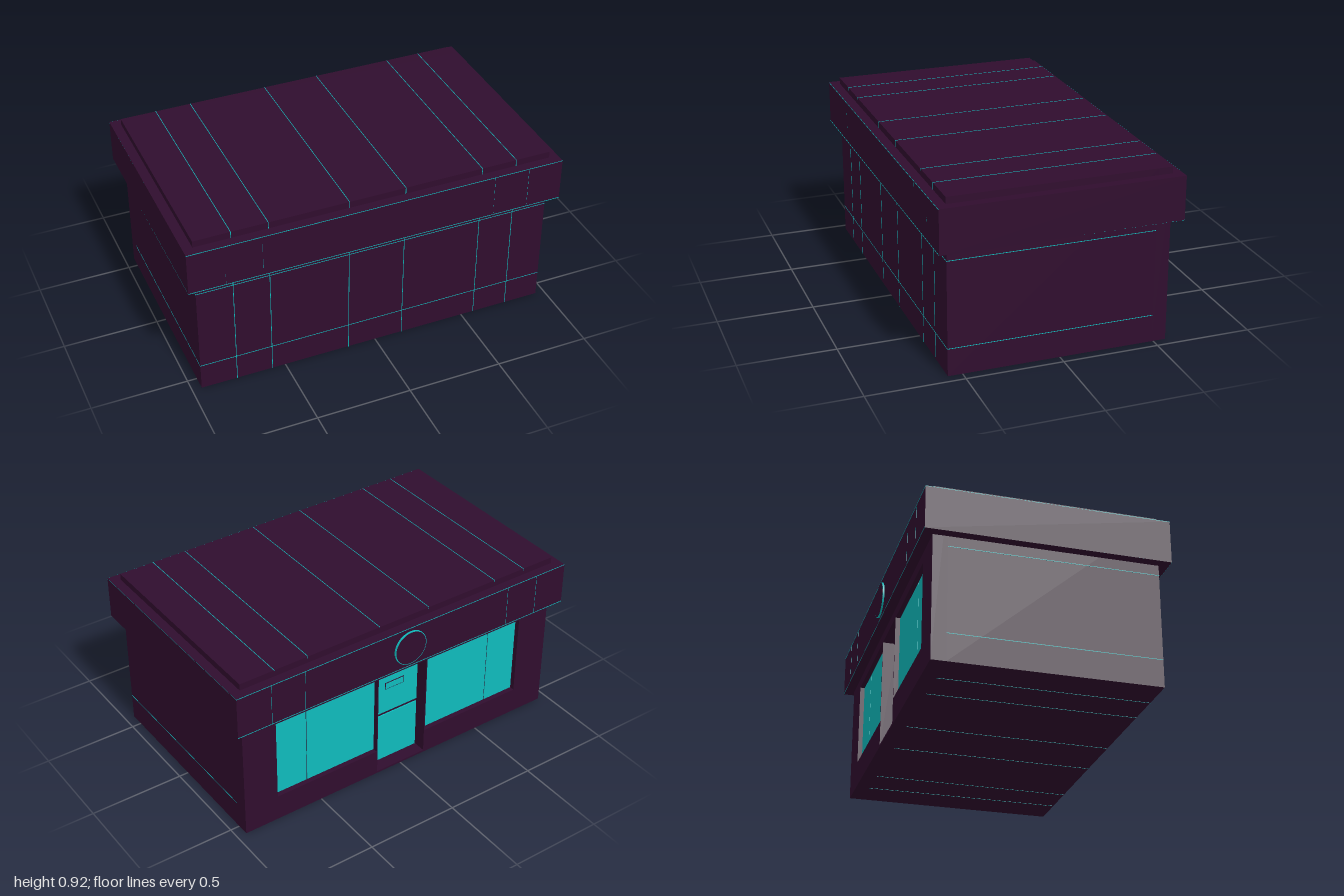
import * as THREE from 'three';

export function createModel() {
  const model = new THREE.Group();
  const plum = new THREE.MeshStandardMaterial({ color: 0x300d2e });
  plum.name = 'dark plum';
  const teal = new THREE.MeshStandardMaterial({ color: 0x0fbcbd });
  teal.name = 'teal';

  const add = (name, geometry, material) => {
    const mesh = new THREE.Mesh(geometry, material);
    mesh.name = name;
    model.add(mesh);
    return mesh;
  };
  // Box given by its minimum and maximum corners
  const box = (name, material, x0, x1, y0, y1, z0, z1) => {
    const mesh = add(name, new THREE.BoxGeometry(x1 - x0, y1 - y0, z1 - z0), material);
    mesh.position.set((x0 + x1) / 2, (y0 + y1) / 2, (z0 + z1) / 2);
    return mesh;
  };

  const W = 0.95, H = 0.92, back = -0.565, front = 0.575, inner = -0.49, t = 0.0015;

  // Building body behind the shop front
  box('body', plum, -W, W, 0.001, H, inner, front);

  // Shop front wall with two window openings and a doorway
  const rect = (Type, x0, x1, y0, y1) => {
    const r = new Type();
    r.moveTo(x0, y0);
    r.lineTo(x1, y0);
    r.lineTo(x1, y1);
    r.lineTo(x0, y1);
    r.closePath();
    return r;
  };
  const wall = rect(THREE.Shape, -W, W, 0.001, H);
  wall.holes.push(
    rect(THREE.Path, 0.155, 0.76, 0.145, 0.6),
    rect(THREE.Path, -0.76, -0.155, 0.145, 0.6),
    rect(THREE.Path, -0.15, 0.15, 0.012, 0.6)
  );
  const wallGeometry = new THREE.ExtrudeGeometry(wall, { depth: inner - back, bevelEnabled: false });
  add('shopFrontWall', wallGeometry, plum).position.z = back;

  // Windows: two panes each, with a narrow dark joint between
  for (const s of [-1, 1]) {
    box('windowBacking', plum, s * 0.4575 - 0.3025, s * 0.4575 + 0.3025, 0.145, 0.6, -0.539, inner);
    for (const [a, b] of [[0.158, 0.568], [0.572, 0.757]]) {
      box('windowPane', teal, Math.min(s * a, s * b), Math.max(s * a, s * b), 0.148, 0.597, -0.541, -0.536);
    }
  }

  // Door: two panels and an outlined letter slot
  box('lowerDoorPanel', teal, -0.146, 0.146, 0.015, 0.298, -0.497, inner);
  box('upperDoorPanel', teal, -0.146, 0.146, 0.316, 0.597, -0.497, inner);
  box('letterSlotFrame', plum, -0.06, 0.06, 0.46, 0.5, -0.499, inner);
  box('letterSlot', teal, -0.056, 0.056, 0.464, 0.496, -0.501, inner);

  // Overhanging fascia band
  box('fascia', plum, -1, 1, 0.655, 0.885, -0.615, 0.625);

  // Round sign plate with a teal rim
  for (const [name, r, z, m] of [['signRim', 0.095, -0.624, teal], ['signPlate', 0.091, -0.625, plum]]) {
    const depth = -0.613 - z;
    const disc = add(name, new THREE.CylinderGeometry(r, r, depth, 40), m);
    disc.rotation.x = Math.PI / 2;
    disc.position.set(0, 0.77, z + depth / 2);
  }

  // Fine teal panel seams, proud of the body by a hair
  const e = 0.001;
  for (const x of [-0.76, -0.57, -0.15, 0.15, 0.57, 0.76]) {
    box('bodySeam', teal, x - t, x + t, 0, H + e, inner, front + e);
    box('roofSeam', teal, x - t, x + t, H - 0.01, H + e, back, inner);
  }
  for (const y of [0.145, 0.6]) {
    box('levelSeam', teal, -W - e, W + e, y - t, y + t, inner, front + e);
  }
  for (const x of [-0.81, -0.62, 0.62, 0.81]) {
    box('fasciaSeam', teal, x - t / 2, x + t / 2, 0.656, 0.884, -0.615 - e, 0.625);
  }
  for (const y of [0.657, 0.883]) {
    box('fasciaEdge', teal, -1, 1, y - t, y + t, -0.615 - e, 0.625 + e);
  }
  return model;
}
